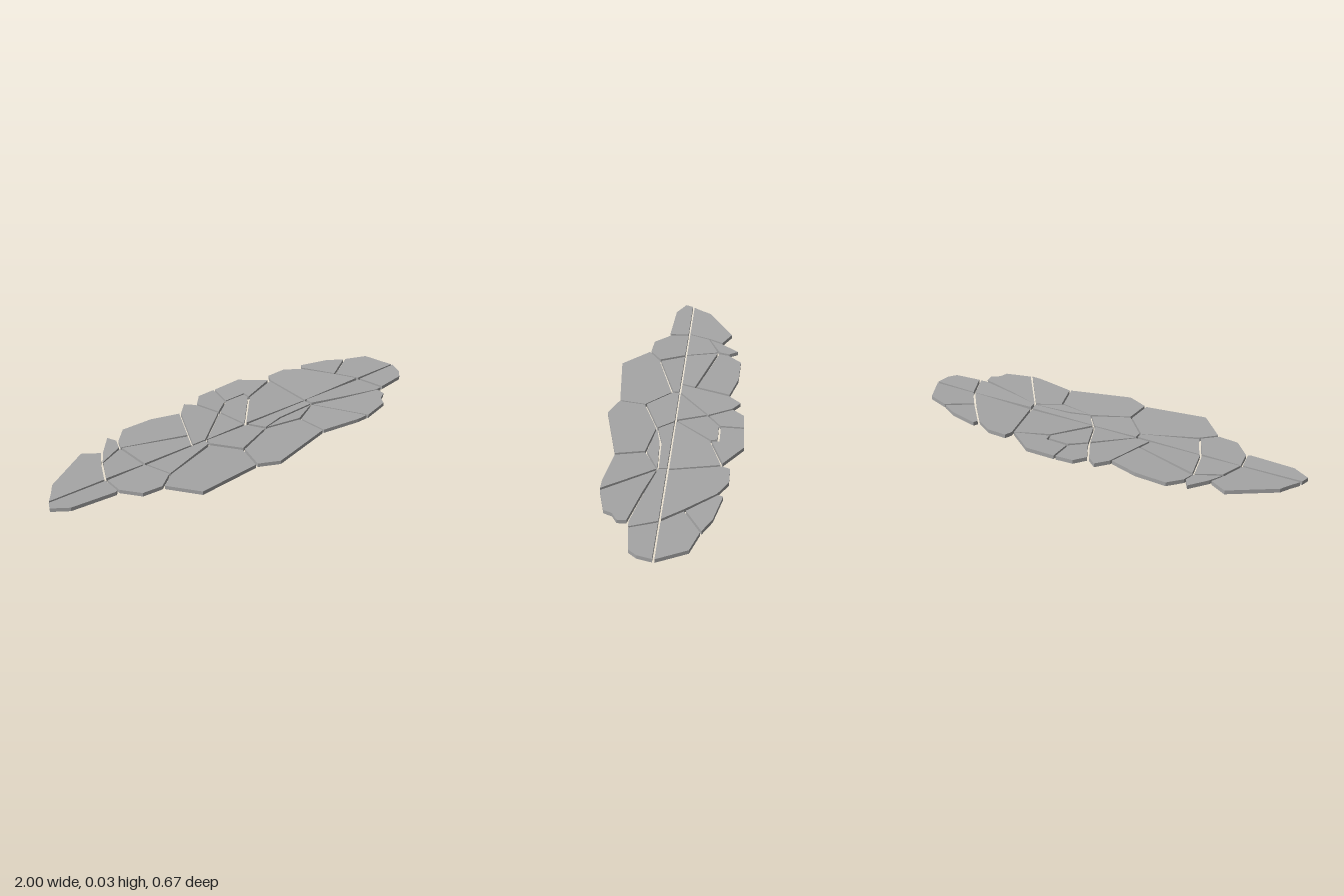
import * as THREE from 'three';

const THICKNESS = 0.02;
const HALF_JOINT = 0.005;

// Rim of the whole paving, as x,z pairs: back edge left to right, then front edge
const BACK_RIM = [
  -0.985, 0, -0.95, -0.05, -0.92, -0.1, -0.71, -0.23, -0.622, -0.18, -0.55, -0.27, -0.52, -0.22,
  -0.455, -0.29, -0.3, -0.285, -0.155, -0.245, -0.1, -0.305, -0.05, -0.265, 0, -0.325, 0.095, -0.33,
  0.245, -0.335, 0.382, -0.235, 0.4, -0.28, 0.495, -0.28, 0.582, -0.23, 0.595, -0.26, 0.74, -0.225,
  0.825, -0.178, 0.935, -0.14, 1, 0,
];
const FRONT_RIM = [
  0.985, 0.07, 0.955, 0.108, 0.82, 0.125, 0.78, 0.13, 0.785, 0.18, 0.745, 0.205, 0.73, 0.245,
  0.6, 0.28, 0.54, 0.28, 0.345, 0.25, 0.035, 0.33, -0.07, 0.285, -0.385, 0.318, -0.51, 0.183,
  -0.61, 0.175, -0.688, 0.09, -0.705, 0.1, -0.92, 0.087, -1, 0.04,
];

// Joints, cut in order; each stroke divides one piece in two
const CENTRE_JOINT = [-0.985, 0.003, 1, 0.003];
const BACK_JOINTS = [
  [-0.703, 0, -0.66, -0.115, -0.622, -0.18],
  [-0.5, 0, -0.535, -0.172, -0.52, -0.22],
  [-0.66, -0.11, -0.535, -0.172],
  [-0.24, 0, -0.155, -0.245],
  [-0.535, -0.172, -0.215, -0.075],
  [-0.165, 0, 0.01, -0.153, -0.05, -0.265],
  [0.425, 0, 0.382, -0.235],
  [0.01, -0.153, 0.09, -0.215, 0.2, -0.215, 0.205, -0.178, 0.382, -0.235],
  [0.095, -0.33, 0.093, -0.215],
  [0.062, 0, 0.205, -0.178],
  [0.01, -0.153, 0.062, 0],
  [0.77, 0, 0.695, -0.1, 0.582, -0.23],
  [0.695, -0.1, 0.825, -0.178],
];
const FRONT_JOINTS = [
  [-0.7, 0, -0.688, 0.09],
  [-0.497, 0, -0.437, 0.127, -0.51, 0.183],
  [-0.437, 0.127, -0.167, 0.036, -0.055, 0.157, -0.07, 0.285],
  [-0.165, 0, -0.167, 0.036],
  [-0.055, 0.157, 0.13, 0.08, 0.31, 0.112, 0.345, 0.25],
  [0.067, 0, 0.13, 0.08],
  [0.425, 0, 0.43, 0.045, 0.6, 0.28],
  [0.13, 0.08, 0.235, 0.052, 0.43, 0.045],
  [0.31, 0.112, 0.43, 0.045],
  [0.77, 0, 0.82, 0.125],
  [0.43, 0.045, 0.59, 0.088, 0.78, 0.13],
];

function toPoints(numbers) {
  const points = [];
  for (let i = 0; i < numbers.length; i += 2) points.push(new THREE.Vector2(numbers[i], numbers[i + 1]));
  return points;
}

// Unit normal of edge a-b, pointing into an anticlockwise outline
function inward(a, b) {
  return new THREE.Vector2(a.y - b.y, b.x - a.x).normalize();
}

// Move every edge of an outline inward by a distance
function inset(outline, distance) {
  return outline.map((p, i) => {
    const n1 = inward(outline.at(i - 1), p);
    const n2 = inward(p, outline[(i + 1) % outline.length]);
    const reach = distance / Math.max(0.4, 1 + n1.dot(n2));
    return n1.add(n2).multiplyScalar(reach).add(p);
  });
}

function contains(outline, p) {
  let inside = false;
  outline.forEach((b, i) => {
    const a = outline.at(i - 1);
    if (a.y > p.y !== b.y > p.y && p.x < a.x + ((b.x - a.x) * (p.y - a.y)) / (b.y - a.y)) inside = !inside;
  });
  return inside;
}

// Snap a stroke end to the nearest corner or edge of an outline
function anchor(outline, p) {
  const corner = outline.find((q) => q.distanceTo(p) < 0.012);
  if (corner) return corner;
  let best = { gap: Infinity };
  outline.forEach((a, i) => {
    const b = outline[(i + 1) % outline.length];
    const edge = b.clone().sub(a);
    const t = THREE.MathUtils.clamp(p.clone().sub(a).dot(edge) / edge.lengthSq(), 0, 1);
    const point = a.clone().addScaledVector(edge, t);
    const gap = point.distanceTo(p);
    if (gap < best.gap) best = { gap, point, after: i + 1 };
  });
  outline.splice(best.after, 0, best.point);
  return best.point;
}

// Part of a closed outline from one corner round to another
function walk(outline, from, to) {
  const i = outline.indexOf(from);
  const turned = [...outline.slice(i), ...outline.slice(0, i)];
  return turned.slice(0, turned.indexOf(to) + 1);
}

// Replace the piece under a stroke with its two halves
function cut(pieces, numbers) {
  const stroke = toPoints(numbers);
  const middle = stroke[0].clone().lerp(stroke[1], 0.5);
  const index = pieces.findIndex((piece) => contains(piece, middle));
  const piece = pieces[index];
  const start = anchor(piece, stroke[0]);
  const end = anchor(piece, stroke.at(-1));
  const bends = stroke.slice(1, -1);
  const first = [...walk(piece, start, end), ...bends.toReversed()];
  const second = [...walk(piece, end, start), ...bends];
  pieces.splice(index, 1, first, second);
}

// Flat slab with straight sides, tilted a little and rising towards the rim
function slab(outline, number) {
  const geometry = new THREE.ExtrudeGeometry(new THREE.Shape(outline), { depth: THICKNESS, bevelEnabled: false });
  geometry.rotateX(Math.PI / 2).translate(0, THICKNESS, 0);
  geometry.computeBoundingBox();
  const middle = geometry.boundingBox.getCenter(new THREE.Vector3());
  const base = 0.01 + 0.006 * Math.abs(middle.x) + 0.01 * Math.abs(middle.z);
  const slopeX = 0.02 * Math.sin(number * 2.4) + 0.01 * middle.x;
  const slopeZ = 0.02 * Math.sign(middle.z);
  const p = geometry.attributes.position;
  for (let i = 0; i < p.count; i++) {
    const tilt = slopeX * (p.getX(i) - middle.x) + slopeZ * (p.getZ(i) - middle.z);
    p.setY(i, p.getY(i) + base + tilt);
  }
  geometry.computeVertexNormals();
  return geometry;
}

export function createModel() {
  const model = new THREE.Group();
  model.name = 'flagstonePath';
  const stone = new THREE.MeshStandardMaterial({ color: 0xa6a6a6, flatShading: true });
  stone.name = 'grey stone';

  // Cut the paving into slabs, then open the joints between them
  const rim = [...toPoints(BACK_RIM), ...toPoints(FRONT_RIM)];
  const pieces = [inset(rim, -HALF_JOINT)];
  for (const joint of [CENTRE_JOINT, ...BACK_JOINTS, ...FRONT_JOINTS]) cut(pieces, joint);

  pieces.forEach((piece, i) => {
    const mesh = new THREE.Mesh(slab(inset(piece, HALF_JOINT), i), stone);
    mesh.name = 'pavingStone' + (i + 1);
    model.add(mesh);
  });
  return model;
}
